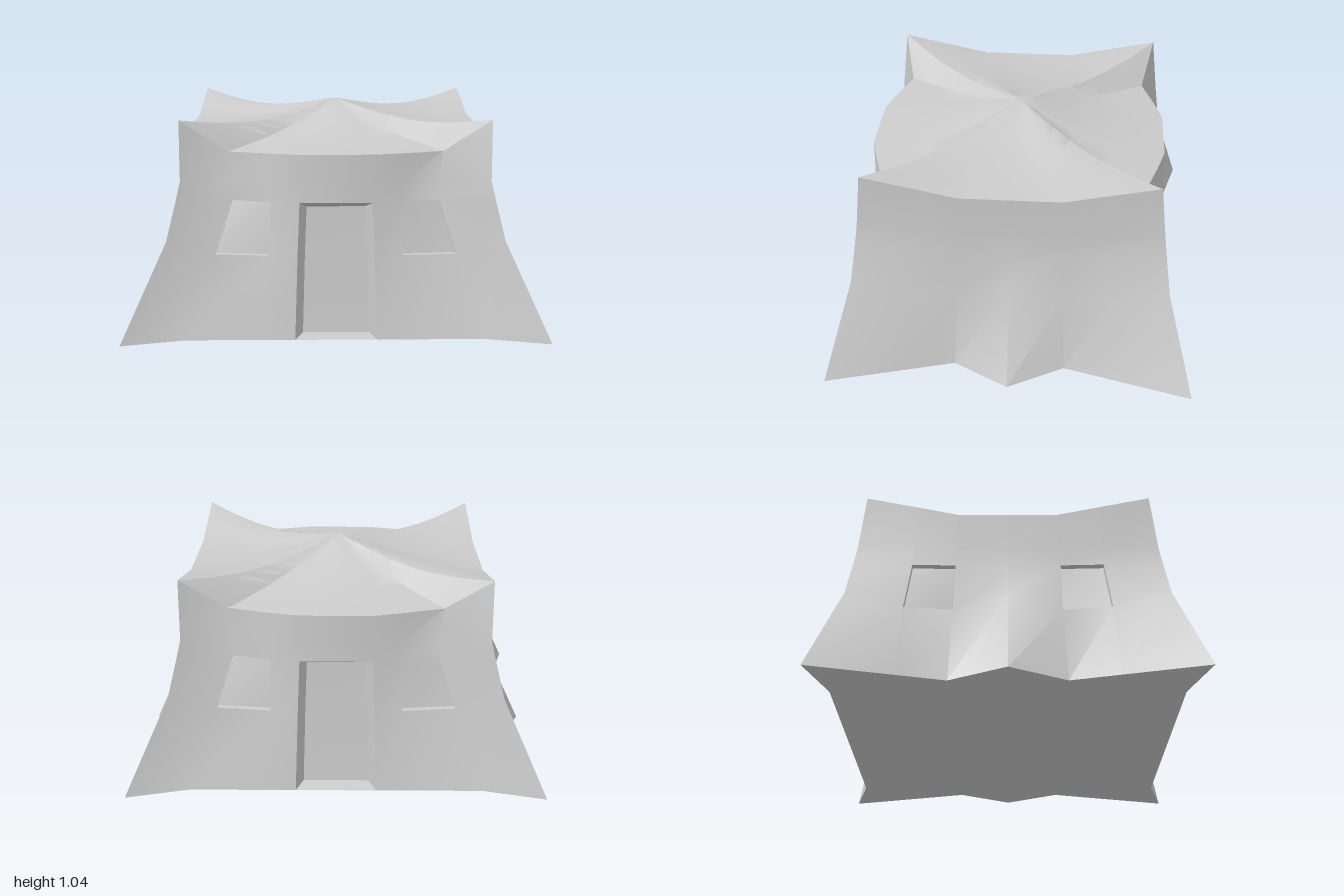
import * as THREE from 'three';
import { toCreasedNormals } from 'three/addons/utils/BufferGeometryUtils.js';

const V = (x, y, z) => new THREE.Vector3(x, y, z);
const material = new THREE.MeshStandardMaterial({ color: 0xcccccc });

// Skin a grid of points; rows run upward, columns run left to right seen from outside
function skin(name, rows, skip = () => false) {
  const pos = [];
  const tri = (a, b, c) => {
    if (a.equals(b) || b.equals(c) || a.equals(c)) return;
    for (const p of [a, b, c]) pos.push(p.x, p.y, p.z);
  };
  for (let i = 0; i < rows.length - 1; i++) {
    for (let j = 0; j < rows[i].length - 1; j++) {
      if (skip(i, j)) continue;
      const a = rows[i][j], b = rows[i][j + 1], c = rows[i + 1][j + 1], d = rows[i + 1][j];
      tri(a, b, c);
      tri(a, c, d);
    }
  }
  const geo = new THREE.BufferGeometry();
  geo.setAttribute('position', new THREE.Float32BufferAttribute(pos, 3));
  const mesh = new THREE.Mesh(toCreasedNormals(geo, 0.7), material);
  mesh.name = name;
  return mesh;
}

// Recess behind a hole: left and right edges listed bottom to top, pushed in along 'inward'
function recess(name, left, right, inward, narrow = 0) {
  const group = new THREE.Group();
  group.name = name;
  const mid = left[0].clone().add(right[0]).multiplyScalar(0.5);
  const push = p => {
    const q = p.clone().add(inward);
    const toMid = mid.clone().sub(p).setY(0).normalize();
    return q.addScaledVector(toMid, narrow);
  };
  const l = left.map(push), r = right.map(push), n = left.length - 1;
  if (narrow) for (const s of [l, r]) { s[0].y += 0.01; s[n].y -= 0.03; }
  group.add(skin('panel', l.map((p, i) => [p, r[i]])));
  group.add(skin('leftJamb', left.map((p, i) => [p, l[i]])));
  group.add(skin('rightJamb', right.map((p, i) => [r[i], p])));
  group.add(skin('sill', [[left[0], right[0]], [l[0], r[0]]]));
  group.add(skin('lintel', [[l[n], r[n]], [left[n], right[n]]]));
  return group;
}

// Wall columns, from base to roof edge
const corner = [V(1, 0, 0.89), V(0.79, 0.46, 0.76), V(0.745, 0.64, 0.735), V(0.722, 0.74, 0.722), V(0.725, 1.02, 0.69)];
const frontCols = [
  corner,
  [V(0.7, 0, 0.81), V(0.565, 0.39, 0.715), V(0.485, 0.64, 0.668), V(0.485, 0.73, 0.652), V(0.505, 0.865, 0.63)],
  [V(0.36, 0, 0.81), V(0.315, 0.39, 0.742), V(0.305, 0.64, 0.71), V(0.31, 0.73, 0.7), V(0.32, 0.865, 0.69)],
  [V(0.192, 0, 0.81), V(0.18, 0.39, 0.755), V(0.17, 0.64, 0.738), V(0.17, 0.73, 0.733), V(0.175, 0.865, 0.73)],
];
const sideCols = [
  corner,
  [V(0.893, 0, 0.5), V(0.787, 0.39, 0.485), V(0.738, 0.64, 0.455), V(0.727, 0.73, 0.45), V(0.725, 0.97, 0.45)],
  [V(0.83, 0, 0.27), V(0.756, 0.39, 0.255), V(0.73, 0.64, 0.25), V(0.726, 0.73, 0.24), V(0.725, 0.925, 0.24)],
  [V(0.98, 0, 0), V(0.765, 0.46, 0), V(0.735, 0.64, 0), V(0.727, 0.73, 0), V(0.725, 0.925, 0)],
];
const mirrored = (cols, sx, sz) => cols.map(c => c.map(p => V(p.x * sx, p.y, p.z * sz)));
const toRows = cols => cols[0].map((_, i) => cols.map(c => c[i]));

const front = [...mirrored(frontCols, -1, 1), ...frontCols.slice().reverse()];
const side = [...sideCols, ...mirrored(sideCols.slice(0, 3), 1, -1).reverse()];

// Wall with a doorway and two windows
function doorWall(name) {
  const g = new THREE.Group();
  g.name = name;
  const windows = [1, 5];
  g.add(skin('wall', toRows(front), (i, j) => (i === 1 && windows.includes(j)) || (i < 2 && j === 3)));
  for (const j of windows)
    g.add(recess('window', front[j].slice(1, 3), front[j + 1].slice(1, 3), V(0, 0, -0.03)));
  g.add(recess('doorway', front[3].slice(0, 3), front[4].slice(0, 3), V(0, 0, -0.08), 0.035));
  return g;
}

// Pleated side wall, with or without two windows
function sideWall(name, hasWindows) {
  const g = new THREE.Group();
  g.name = name;
  const windows = hasWindows ? [1, 4] : [];
  g.add(skin('wall', toRows(side), (i, j) => i === 1 && windows.includes(j)));
  for (const j of windows)
    g.add(recess('window', side[j].slice(1, 3), side[j + 1].slice(1, 3), V(-0.035, 0, 0)));
  return g;
}

// Closed outline around all four walls at one row
function outline(row) {
  const half = [...front.map(c => c[row]), ...side.slice(1).map(c => c[row])];
  const rest = half.slice(1).map(p => V(-p.x, p.y, -p.z));
  return [...half, ...rest];
}

export function createModel() {
  const model = new THREE.Group();
  model.name = 'hut';

  const back = doorWall('backWall');
  back.rotation.y = Math.PI;
  const right = sideWall('rightWall', true);
  right.rotation.y = Math.PI;
  model.add(doorWall('frontWall'), back, sideWall('leftWall', false), right);

  // Sagging roof cloth, drawn up to a central peak and four corners
  const peak = 1.045;
  const steps = [1, 0.875, 0.75, 0.625, 0.5, 0.375, 0.25, 0.125, 0];
  const edge = outline(4);
  model.add(skin('roof', steps.map(t => edge.map(p => {
    if (t === 1) return p;
    const sag = p.y > 1 ? 0.06 : 0.03;
    return V(p.x * t, peak + (p.y - peak) * t - sag * Math.sin(Math.PI * t), p.z * t);
  }))));

  // Flat underside
  const base = outline(0);
  model.add(skin('floor', [base.map(() => V(0, 0, 0)), base]));
  return model;
}
